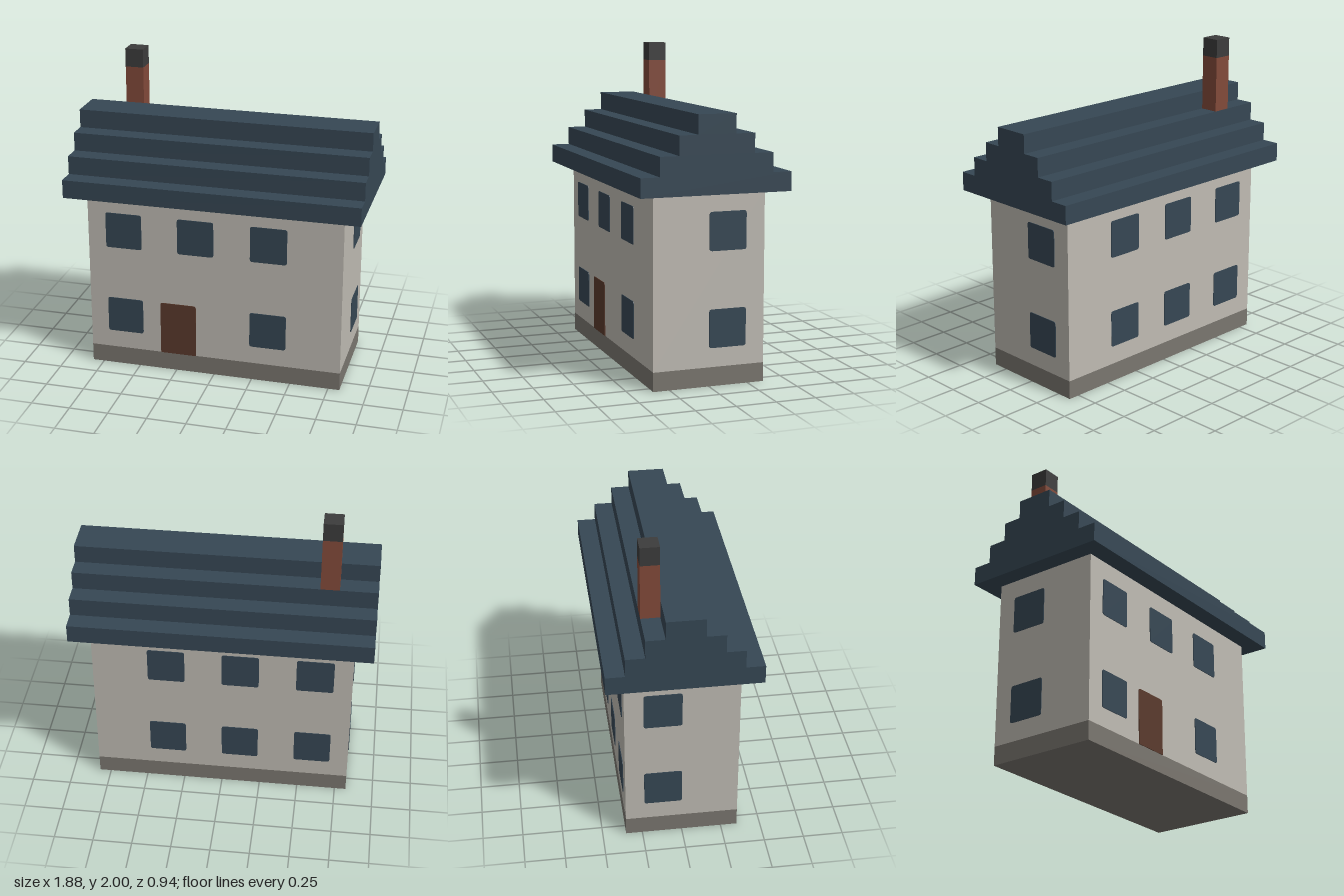
import * as THREE from 'three';

const U = 2 / 17; // one building module

const material = (name, color) => {
  const m = new THREE.MeshStandardMaterial({ color });
  m.name = name;
  return m;
};

// Rectangle panel with softened corners, standing on its lower edge
function panelShape(w, h, r, rBottom = r) {
  const s = new THREE.Shape();
  s.moveTo(-w / 2 + rBottom, 0);
  s.lineTo(w / 2 - rBottom, 0);
  s.quadraticCurveTo(w / 2, 0, w / 2, rBottom);
  s.lineTo(w / 2, h - r);
  s.quadraticCurveTo(w / 2, h, w / 2 - r, h);
  s.lineTo(-w / 2 + r, h);
  s.quadraticCurveTo(-w / 2, h, -w / 2, h - r);
  s.lineTo(-w / 2, rBottom);
  s.quadraticCurveTo(-w / 2, 0, -w / 2 + rBottom, 0);
  return s;
}

export function createModel() {
  const house = new THREE.Group();
  house.name = 'house';

  const plaster = material('plaster', 0xbfbbb3);
  const stone = material('stone', 0x7a766f);
  const slate = material('slate', 0x364754);
  const brick = material('brick', 0x824a3a);
  const soot = material('soot', 0x3c3c3c);
  const wood = material('wood', 0x5a3a2c);

  // Box given in modules: size, centre x, bottom y, centre z
  const block = (name, mat, w, h, d, x, y, z, parent = house) => {
    const mesh = new THREE.Mesh(new THREE.BoxGeometry(w * U, h * U, d * U), mat);
    mesh.name = name;
    mesh.position.set(x * U, (y + h / 2) * U, z * U);
    parent.add(mesh);
  };

  // Body
  block('foundation', stone, 14, 1, 6, 0, 0, 0);
  block('walls', plaster, 14, 9, 6, 0, 1, 0);

  // Stepped gable roof
  const roof = new THREE.Group();
  roof.name = 'roof';
  house.add(roof);
  for (let i = 0; i < 4; i++) block('roofStep', slate, 16, 1, 8 - 2 * i, 0, 10 + i, 0, roof);

  // Chimney on the rear slope
  block('chimneyStack', brick, 1, 3, 1, -5.5, 13, -1.5);
  block('chimneyCap', soot, 1, 1, 1, -5.5, 16, -1.5);

  // Thin plates on the walls
  const plate = { depth: 0.004, bevelEnabled: false, curveSegments: 4 };
  const windowGeometry = new THREE.ExtrudeGeometry(panelShape(2 * U, 2 * U, 0.016), plate);
  const doorGeometry = new THREE.ExtrudeGeometry(panelShape(2 * U, 3 * U, 0.016, 0.001), plate);
  const addPanel = (name, geometry, mat, x, y, z, turn) => {
    const mesh = new THREE.Mesh(geometry, mat);
    mesh.name = name;
    mesh.position.set(x * U, y * U, z * U);
    mesh.rotation.y = turn;
    house.add(mesh);
  };

  for (const y of [2, 7]) {
    for (const x of [-5, -1, 3]) {
      // The door replaces the middle window on the front ground floor
      if (y === 7 || x !== -1) addPanel('frontWindow', windowGeometry, slate, x, y, 3, 0);
      addPanel('backWindow', windowGeometry, slate, x, y, -3, Math.PI);
    }
    addPanel('leftWindow', windowGeometry, slate, 7, y, -1, Math.PI / 2);
    addPanel('rightWindow', windowGeometry, slate, -7, y, -1, -Math.PI / 2);
  }
  addPanel('door', doorGeometry, wood, -2, 1, 3, 0);

  return house;
}
